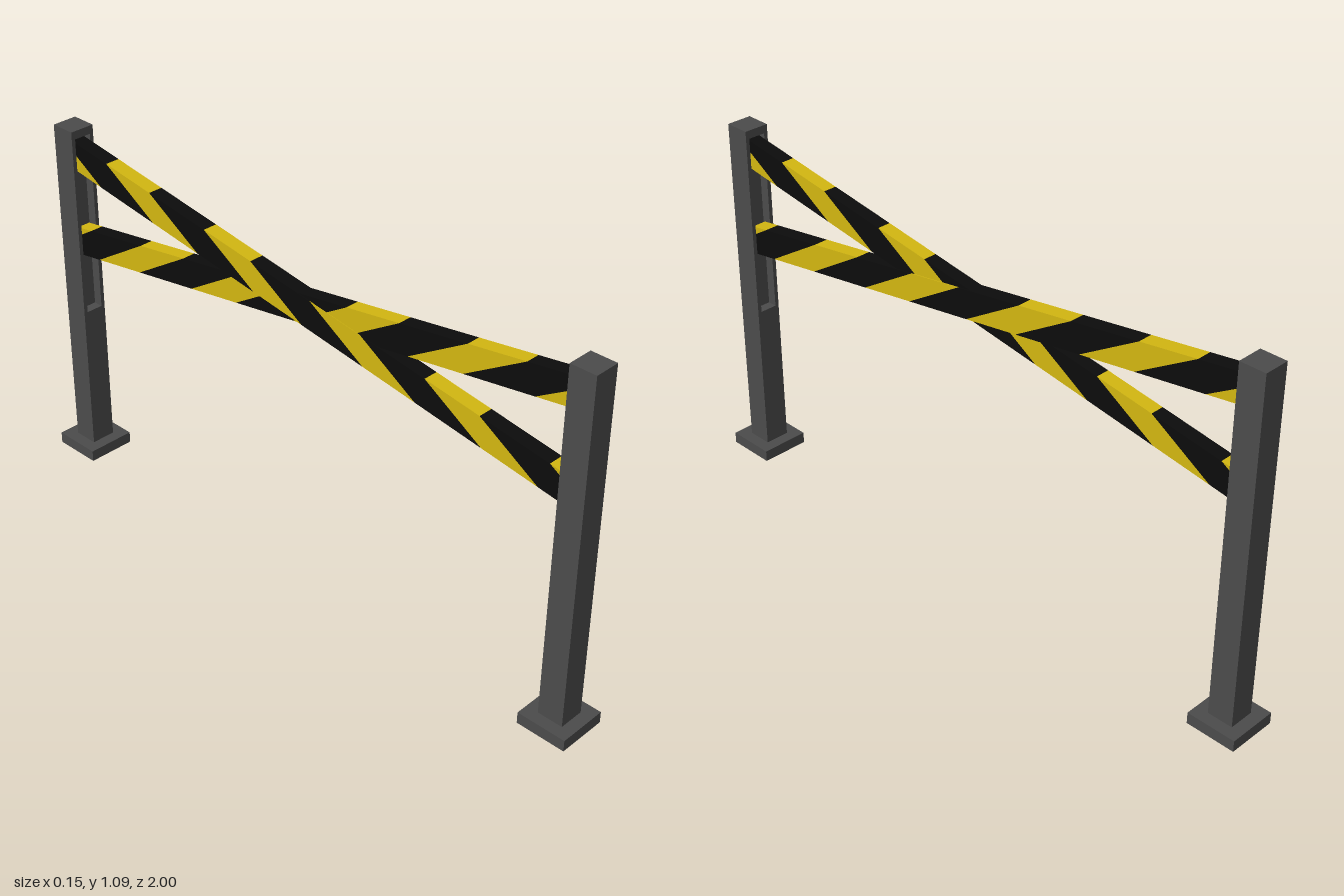
import * as THREE from 'three';

export function createModel() {
  const grey = new THREE.MeshStandardMaterial({ name: 'darkGrey', color: 0x4b4b4b });
  const yellow = new THREE.MeshStandardMaterial({ name: 'yellow', color: 0xd3b711 });
  const black = new THREE.MeshStandardMaterial({ name: 'black', color: 0x0c0c0c });

  const model = new THREE.Group();
  model.name = 'barrier';

  function mesh(name, geometry, material, parent) {
    const m = new THREE.Mesh(geometry, material);
    m.name = name;
    parent.add(m);
    return m;
  }

  const rect = (Type, x0, y0, x1, y1) => new Type([
    new THREE.Vector2(x0, y0), new THREE.Vector2(x1, y0),
    new THREE.Vector2(x1, y1), new THREE.Vector2(x0, y1)]);

  // Posts: square column with a slot cut in the inner face, on a base plate
  const R = 0.039, TOP = 1.09, BASE = 0.035, SLOT = 0.03, POST_Z = 0.924;
  function addPost(name, turn) {
    const post = new THREE.Group();
    post.name = name;
    const face = rect(THREE.Shape, -R, BASE, R, TOP);
    face.holes.push(rect(THREE.Path, -0.027, 0.5, 0.027, 1.065));
    const front = new THREE.ExtrudeGeometry(face, { depth: SLOT, bevelEnabled: false });
    mesh('slottedFace', front, grey, post).position.z = R - SLOT - POST_Z;
    const back = new THREE.BoxGeometry(2 * R, TOP - BASE, 2 * R - SLOT);
    mesh('column', back, grey, post).position.set(0, (TOP + BASE) / 2, -SLOT / 2 - POST_Z);
    mesh('basePlate', new THREE.BoxGeometry(0.152, BASE, 0.152), grey, post)
      .position.set(0, BASE / 2, -POST_Z);
    post.rotation.y = turn;
    model.add(post);
  }
  addPost('backPost', 0);
  addPost('frontPost', Math.PI);

  // Keep the part of a polygon where side * u <= limit
  function clip(points, side, limit) {
    const out = [];
    points.forEach((a, i) => {
      const b = points[(i + 1) % points.length];
      const da = limit - side * a.x, db = limit - side * b.x;
      if (da >= 0) out.push(a);
      if (da * db < 0) out.push(a.clone().lerp(b, da / (da - db)));
    });
    return out;
  }

  // Crossing beams, cut into slanted stripes that run through their thickness
  const END = 0.905, MID_Y = 0.872, SLOPE = 0.153, HALF = 0.044, SLANT = 0.19;
  function addBeam(name, mirror, x0, x1) {
    const beam = new THREE.Group();
    beam.name = name;
    const addStripe = (label, from, to, material) => {
      const corner = (u, s) => new THREE.Vector2(u, MID_Y + SLOPE * u + s * HALF);
      let pts = [corner(from, 1), corner(to, 1), corner(to - SLANT, -1), corner(from - SLANT, -1)];
      pts = clip(clip(pts, 1, END), -1, END);
      if (pts.length < 3) return;
      pts.forEach((p) => { p.x *= mirror; });
      const geometry = new THREE.ExtrudeGeometry(new THREE.Shape(pts), { depth: x1 - x0, bevelEnabled: false });
      geometry.rotateY(Math.PI / 2).translate(x0, 0, 0);
      mesh(label, geometry, material, beam);
    };
    for (let k = -3; k <= 2; k++) {
      const c = 0.265 + 0.4 * k;
      addStripe('yellowStripe', c - 0.09, c + 0.09, yellow);
      addStripe('blackStripe', c + 0.09, c + 0.31, black);
    }
    model.add(beam);
  }
  addBeam('beamRisingToBack', 1, -0.0245, 0.0205);
  addBeam('beamRisingToFront', -1, -0.0235, 0.018);

  return model;
}
